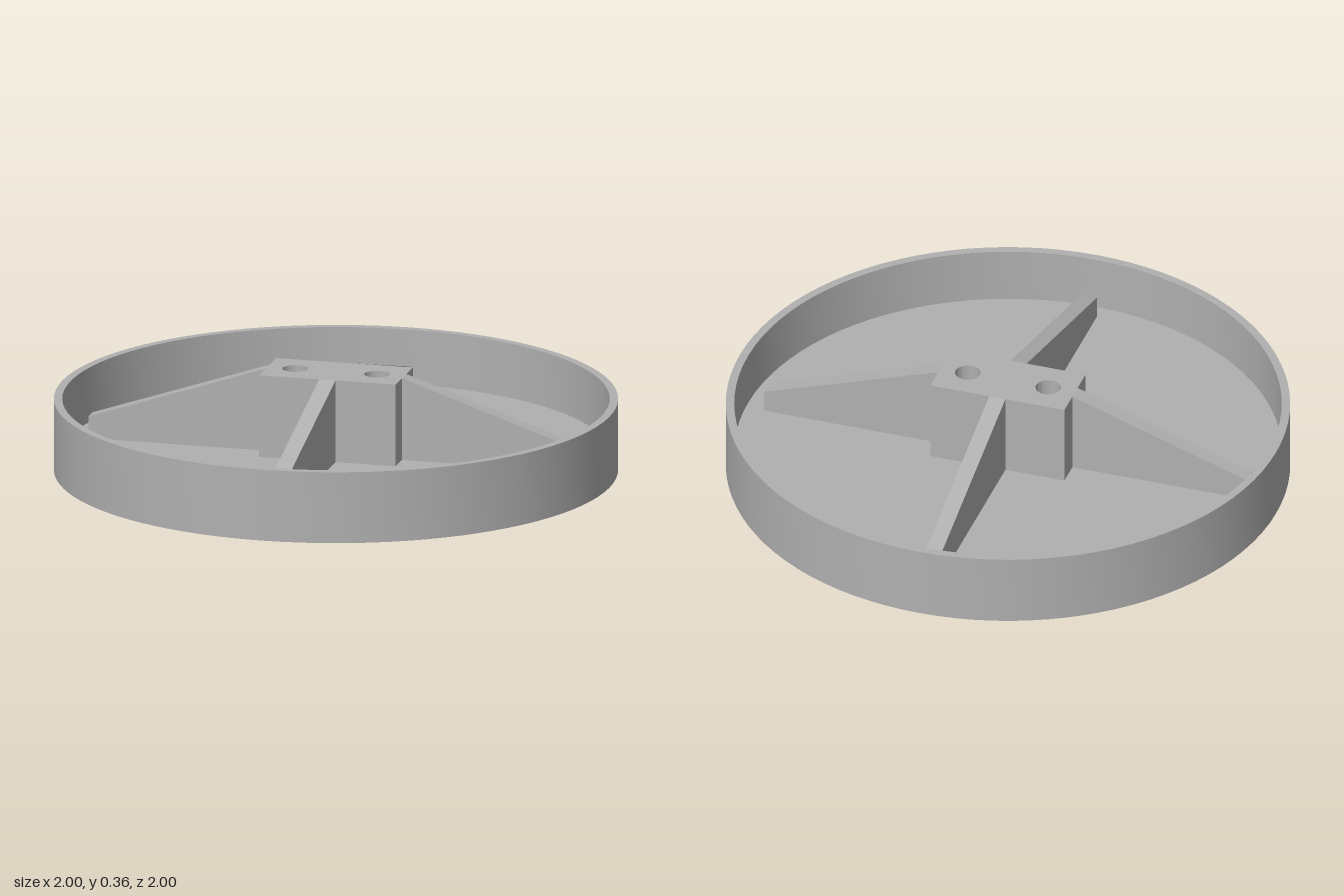
import * as THREE from 'three';
import { toCreasedNormals } from 'three/addons/utils/BufferGeometryUtils.js';

const SEG = 96;
const FLOOR = 0.06, RIM = 0.26, HUB_TOP = 0.36;
const HOLE_X = 0.15, HOLE_R = 0.045, SINK_R = 0.085, SINK_H = 0.04;

export function createModel() {
  const group = new THREE.Group();
  const grey = new THREE.MeshStandardMaterial({ color: 0xb0b0b0 });
  grey.name = 'plain grey';

  const add = (name, geometry) => {
    const mesh = new THREE.Mesh(geometry, grey);
    mesh.name = name;
    group.add(mesh);
    return mesh;
  };
  const lathe = (points, segments) => toCreasedNormals(
    new THREE.LatheGeometry(points.map(([x, y]) => new THREE.Vector2(x, y)), segments), 0.5);
  const drill = (shape, radius) => {
    for (const x of [-HOLE_X, HOLE_X]) {
      shape.holes.push(new THREE.Path().absarc(x, 0, radius, 0, Math.PI * 2, true));
    }
    return shape;
  };
  const disc = (radius, holeRadius) => new THREE.ShapeGeometry(
    drill(new THREE.Shape().absarc(0, 0, radius, 0, Math.PI * 2, false), holeRadius), SEG);

  // Round dish: thin wall, floor and underside
  add('rimWall', lathe([[1, 0], [1, RIM], [0.97, RIM], [0.97, FLOOR]], SEG));
  add('dishFloor', disc(0.97, HOLE_R).rotateX(-Math.PI / 2).translate(0, FLOOR, 0));
  add('underside', disc(1, SINK_R).rotateX(Math.PI / 2));

  // Countersinks of the two screw holes
  for (const x of [-HOLE_X, HOLE_X]) {
    add('countersink', lathe([[HOLE_R, SINK_H], [SINK_R, 0]], SEG)).position.x = x;
  }

  // Central block with two through holes
  const hubX = 0.25, hubZ = 0.12;
  const hub = drill(new THREE.Shape([
    new THREE.Vector2(-hubX, -hubZ), new THREE.Vector2(hubX, -hubZ),
    new THREE.Vector2(hubX, hubZ), new THREE.Vector2(-hubX, hubZ),
  ]), HOLE_R);
  const hubGeometry = new THREE.ExtrudeGeometry(hub,
    { depth: HUB_TOP - SINK_H, bevelEnabled: false, curveSegments: 32 });
  hubGeometry.rotateX(-Math.PI / 2).translate(0, SINK_H, 0);
  add('hub', toCreasedNormals(hubGeometry, 0.5));

  // Four sloping ribs running out from the block
  for (let i = 0; i < 4; i++) {
    const inner = i % 2 ? hubZ : hubX;
    const outer = i % 2 ? 0.915 : 0.9;
    const side = new THREE.Shape([
      new THREE.Vector2(inner, 0.05), new THREE.Vector2(outer, 0.05),
      new THREE.Vector2(outer, 0.14), new THREE.Vector2(inner, HUB_TOP),
    ]);
    const rib = new THREE.ExtrudeGeometry(side, { depth: 0.06, bevelEnabled: false });
    add('rib', rib.translate(0, 0, -0.03)).rotation.y = i * Math.PI / 2;
  }
  return group;
}
